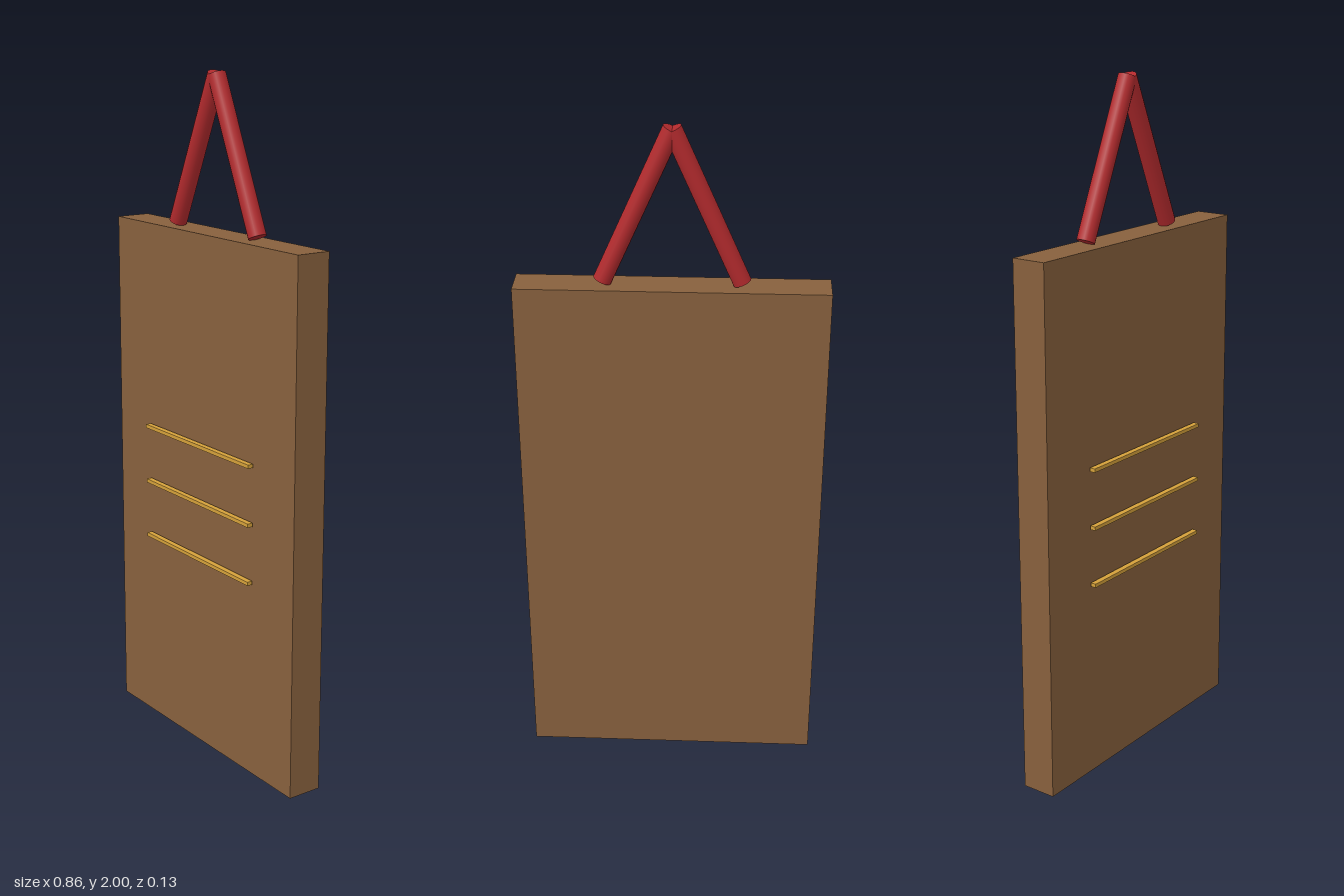
import * as THREE from 'three';

export function createModel() {
  const model = new THREE.Group();
  const wood = new THREE.MeshStandardMaterial({ name: 'brown board', color: 0x87603d });
  const red = new THREE.MeshStandardMaterial({ name: 'red cord', color: 0xb22a2d });
  const gold = new THREE.MeshStandardMaterial({ name: 'gold trim', color: 0xd4a03a });

  const add = (name, geometry, material, x, y, z) => {
    const mesh = new THREE.Mesh(geometry, material);
    mesh.name = name;
    mesh.position.set(x, y, z);
    model.add(mesh);
    return mesh;
  };

  // Flat hanging board
  const midZ = -0.0135;
  add('board', new THREE.BoxGeometry(0.864, 1.555, 0.104), wood, 0, 0.7775, midZ);

  // Three thin bars floating just off the front face
  const bar = new THREE.BoxGeometry(0.512, 0.011, 0.017);
  [0.6, 0.773, 0.945].forEach((y, i) => add('goldBar' + (i + 1), bar, gold, 0, y, 0.0545));

  // Two cords leaning together into a hanging loop
  const spread = 0.19, bottom = 1.565, top = 1.99;
  const cord = new THREE.CylinderGeometry(0.026, 0.026, Math.hypot(spread, top - bottom), 16);
  for (const [name, side] of [['leftCord', 1], ['rightCord', -1]]) {
    const mesh = add(name, cord, red, side * spread / 2, (bottom + top) / 2, midZ);
    mesh.rotation.z = side * Math.atan2(spread, top - bottom);
  }
  return model;
}
